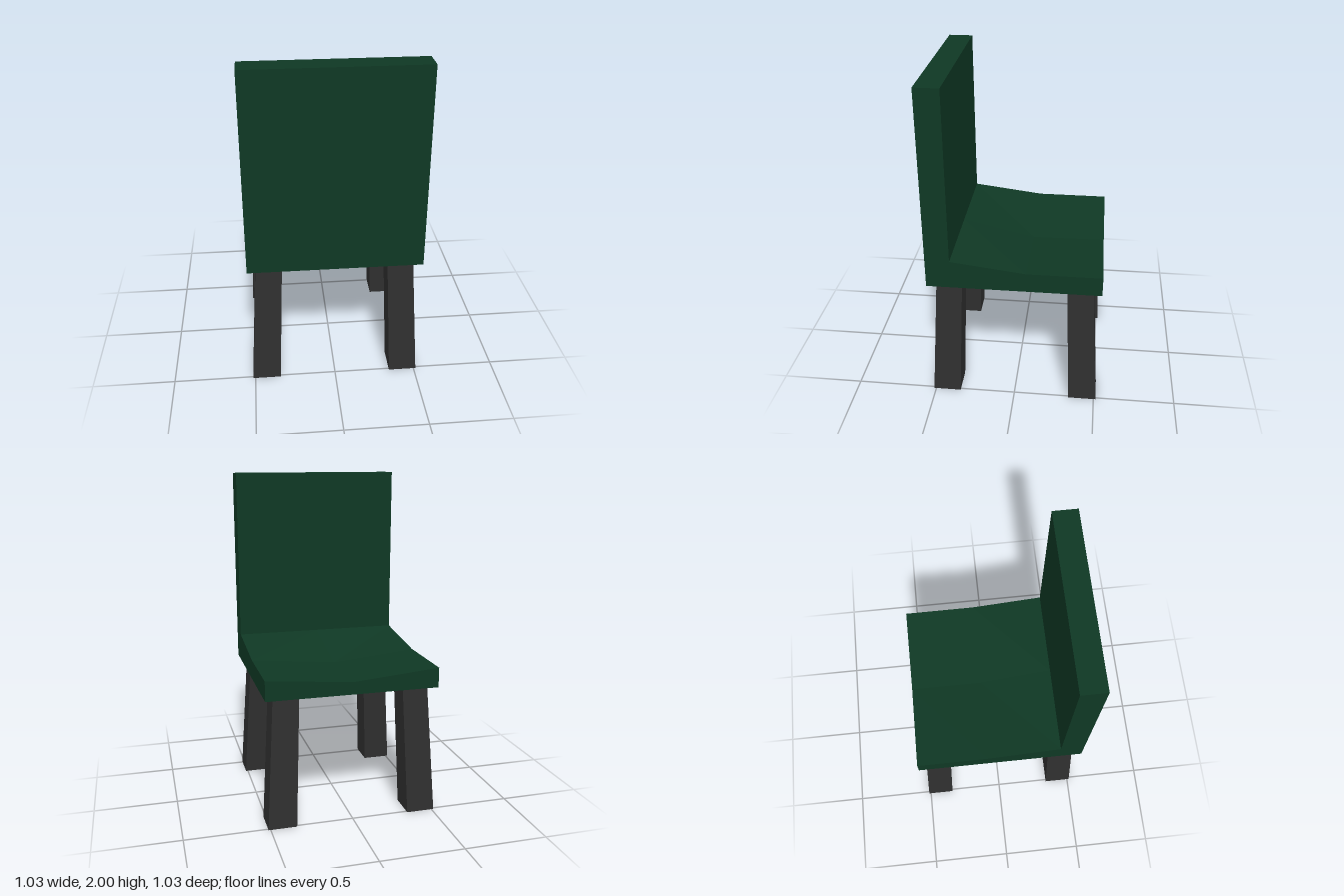
import * as THREE from 'three';

const HALF = 0.517, SEAT_BOTTOM = 0.785, BACK_Z = 0.372, CREASE_Z = -0.075;

// Move every vertex by a rule, then rebuild faceted normals
function reshape(geometry, rule) {
  const flat = geometry.toNonIndexed();
  const p = flat.attributes.position;
  for (let i = 0; i < p.count; i++) {
    p.setXYZ(i, ...rule(p.getX(i), p.getY(i), p.getZ(i)));
  }
  flat.computeVertexNormals();
  return flat;
}

export function createModel() {
  const green = new THREE.MeshStandardMaterial({ color: 0x0f3824, flatShading: true });
  green.name = 'dark green';
  const charcoal = new THREE.MeshStandardMaterial({ color: 0x2f2f2f, flatShading: true });
  charcoal.name = 'charcoal';

  const group = new THREE.Group();
  group.name = 'chair';
  const add = (name, geometry, material) => {
    const mesh = new THREE.Mesh(geometry, material);
    mesh.name = name;
    group.add(mesh);
    return mesh;
  };

  // Upright backrest slab
  const backHeight = 2 - SEAT_BOTTOM, backDepth = HALF - BACK_Z;
  add('backrest', new THREE.BoxGeometry(HALF * 2, backHeight, backDepth), green)
    .position.set(0, SEAT_BOTTOM + backHeight / 2, BACK_Z + backDepth / 2);

  // Seat: rises toward the backrest and dips along the middle
  const seatRule = (x, y, z) => {
    const middle = Math.abs(x) < 0.1;
    const rowZ = z > 0.5 ? BACK_Z : z < -0.5 ? -HALF : CREASE_Z;
    let top = 0.905;
    if (z > 0.5) top = 0.96;
    else if (middle) top = z < -0.5 ? 0.86 : 0.855;
    return [x * HALF, y > 0 ? top : SEAT_BOTTOM, rowZ];
  };
  add('seat', reshape(new THREE.BoxGeometry(2, 2, 2, 2, 1, 2), seatRule), green);

  // Four splayed legs, slightly thicker at the foot
  for (const sx of [-1, 1]) {
    for (const sz of [-1, 1]) {
      const legRule = (x, y, z) => {
        const [centre, half] = y > 0 ? [0.389, 0.077] : [0.428, 0.085];
        return [sx * centre + x * half, y > 0 ? SEAT_BOTTOM : 0, sz * centre + z * half];
      };
      const name = (sz > 0 ? 'backrestSide' : 'seatSide') + (sx > 0 ? 'LeftLeg' : 'RightLeg');
      add(name, reshape(new THREE.BoxGeometry(2, 2, 2), legRule), charcoal);
    }
  }
  return group;
}
